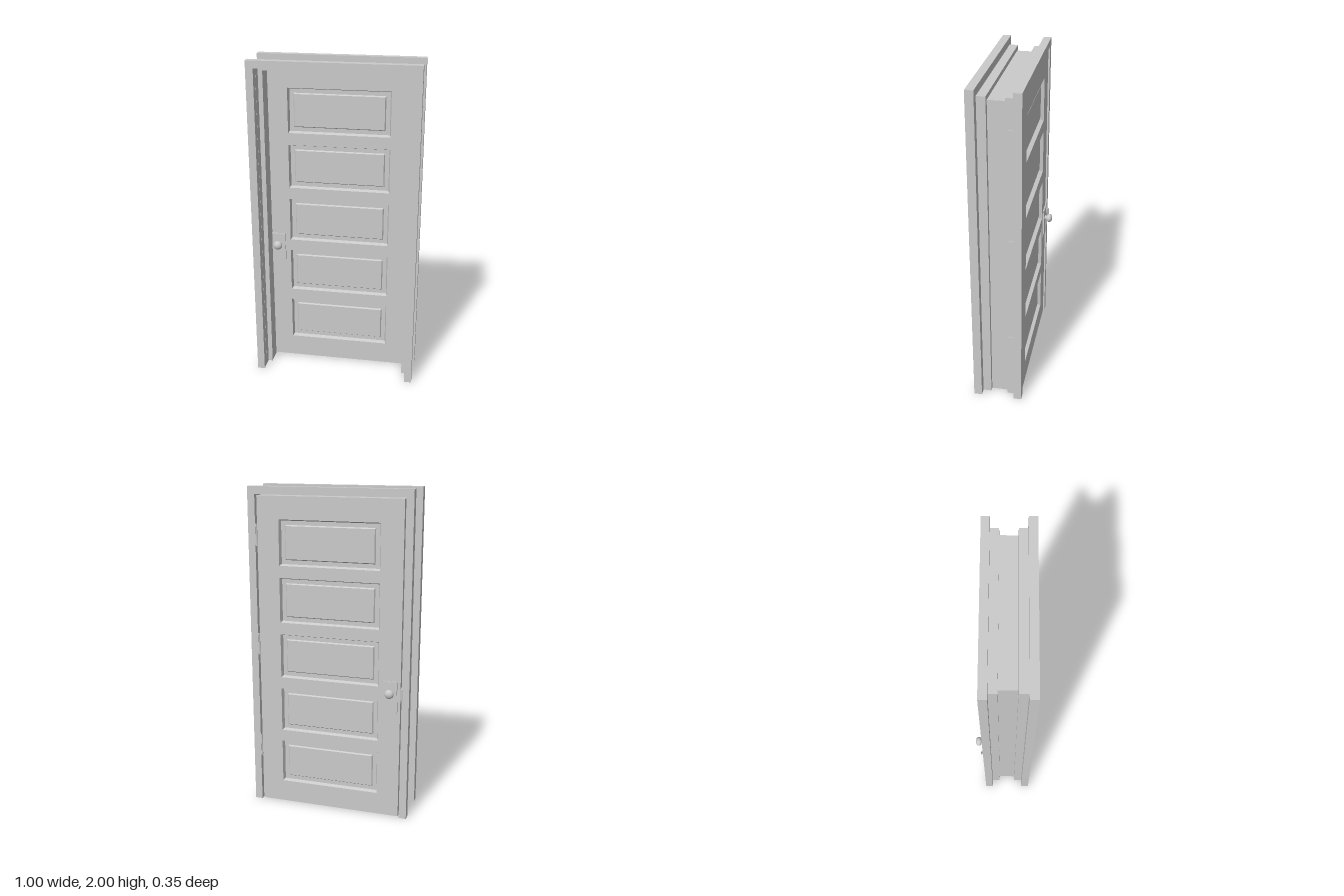
import * as THREE from 'three';

const DOOR_FRONT = -0.032, DOOR_BACK = -0.117;
const grey = new THREE.MeshStandardMaterial({ color: 0xcccccc });
const sheet = new THREE.MeshStandardMaterial({ color: 0xcccccc, side: THREE.DoubleSide });

function add(parent, name, geometry, material = grey) {
  const mesh = new THREE.Mesh(geometry, material);
  mesh.name = name;
  parent.add(mesh);
  return mesh;
}

function box(parent, name, x0, x1, y0, y1, z0, z1) {
  const mesh = add(parent, name, new THREE.BoxGeometry(x1 - x0, y1 - y0, z1 - z0));
  mesh.position.set((x0 + x1) / 2, (y0 + y1) / 2, (z0 + z1) / 2);
  return mesh;
}

// Skins consecutive cross-sections with flat quads
function loft(sections) {
  const pos = [];
  for (let i = 0; i < sections.length - 1; i++) {
    for (let j = 0; j < sections[i].length - 1; j++) {
      const a = sections[i][j], b = sections[i][j + 1];
      const c = sections[i + 1][j + 1], d = sections[i + 1][j];
      pos.push(...a, ...b, ...c, ...a, ...c, ...d);
    }
  }
  const geometry = new THREE.BufferGeometry();
  geometry.setAttribute('position', new THREE.Float32BufferAttribute(pos, 3));
  geometry.computeVertexNormals();
  return geometry;
}

// Casings, jamb and stop: one folded profile swept up, across and down
function frameGeometry() {
  const profile = [
    [0.455, 0.125], [0.455, 0.172], [0.5, 0.172], [0.5, 0.123], [0.455, 0.123],
    [0.455, 0.072], [0.428, 0.072], [0.428, -0.03], [0.455, -0.03], [0.455, -0.079],
    [0.5, -0.079], [0.5, -0.126], [0.455, -0.126], [0.455, -0.079],
  ];
  return loft(profile.map(([w, z]) => [[-w, 0, z], [-w, 1.5 + w, z], [w, 1.5 + w, z], [w, 0, z]]));
}

function rectanglePath(PathType, w, y0, y1) {
  return new PathType([[-w, y0], [w, y0], [w, y1], [-w, y1]].map((p) => new THREE.Vector2(...p)));
}

// Recessed panel with a bevelled rim and a slightly raised field, facing +z
function panelGeometry(halfW, halfH) {
  const steps = [[0, 0], [0.008, -0.024], [0.033, -0.024], [0.039, -0.015]];
  const rings = steps.map(([inset, z]) => {
    const w = halfW - inset, h = halfH - inset;
    return [[-w, -h, z], [w, -h, z], [w, h, z], [-w, h, z], [-w, -h, z]];
  });
  const z = steps.at(-1)[1];
  rings.push(Array.from({ length: 5 }, () => [0, 0, z]));
  return loft(rings);
}

// Lock plate, neck and round knob, built facing +z
function knobSet(name) {
  const group = new THREE.Group();
  group.name = name;
  box(group, 'lockPlate', -0.044, 0.044, -0.13, 0.07, 0, 0.006);
  box(group, 'lockPlateFace', -0.04, 0.04, -0.126, 0.066, 0.004, 0.009);
  const points = [[0.017, 0.005], [0.016, 0.012], [0.014, 0.02]];
  for (let i = 1; i <= 9; i++) {
    const a = -Math.PI / 2 + 0.5 + (i - 1) / 8 * (Math.PI - 0.5);
    points.push([Math.max(0, 0.028 * Math.cos(a)), 0.038 + 0.02 * Math.sin(a)]);
  }
  const knob = new THREE.LatheGeometry(points.map((p) => new THREE.Vector2(...p)), 20);
  knob.rotateX(Math.PI / 2);
  add(group, 'knob', knob, sheet);
  return group;
}

export function createModel() {
  const model = new THREE.Group();
  add(model, 'doorFrame', frameGeometry(), sheet);

  // Door slab with five panel openings
  const door = new THREE.Group();
  door.name = 'door';
  model.add(door);
  const slab = rectanglePath(THREE.Shape, 0.446, 0.005, 1.946);
  const panelW = 0.31, panelH = 0.137;
  const panelGeo = panelGeometry(panelW, panelH);
  for (let i = 0; i < 5; i++) {
    const y = 0.281 + i * 0.348;
    slab.holes.push(rectanglePath(THREE.Path, panelW, y - panelH, y + panelH));
    add(door, 'frontPanel', panelGeo).position.set(0, y, DOOR_FRONT);
    const back = add(door, 'backPanel', panelGeo);
    back.position.set(0, y, DOOR_BACK);
    back.rotation.y = Math.PI;
  }
  const slabGeo = new THREE.ExtrudeGeometry(slab, { depth: DOOR_FRONT - DOOR_BACK, bevelEnabled: false });
  add(door, 'slab', slabGeo).position.z = DOOR_BACK;

  // Knobs on both faces
  const front = knobSet('frontKnob');
  front.position.set(-0.385, 0.81, DOOR_FRONT);
  const back = knobSet('backKnob');
  back.position.set(-0.385, 0.81, DOOR_BACK);
  back.rotation.y = Math.PI;
  door.add(front, back);

  // Three hinges let into the jamb, each with a knuckle in the gap
  for (const y of [0.375, 1.045, 1.715]) {
    const hinge = new THREE.Group();
    hinge.name = 'hinge';
    model.add(hinge);
    box(hinge, 'leaf', 0.447, 0.459, y - 0.067, y + 0.067, -0.078, -0.038);
    box(hinge, 'leafRib', 0.455, 0.462, y - 0.067, y + 0.067, -0.078, -0.07);
    const pin = add(hinge, 'knuckle', new THREE.CylinderGeometry(0.006, 0.006, 0.134, 10));
    pin.position.set(0.451, y, -0.119);
  }

  // Strike plate with its angled lip
  box(model, 'strikePlate', -0.457, -0.449, 0.77, 0.845, -0.125, -0.045);
  const lip = box(model, 'strikeLip', -0.457, -0.453, 0.777, 0.842, -0.144, -0.124);
  lip.rotation.y = Math.PI / 4;
  return model;
}
